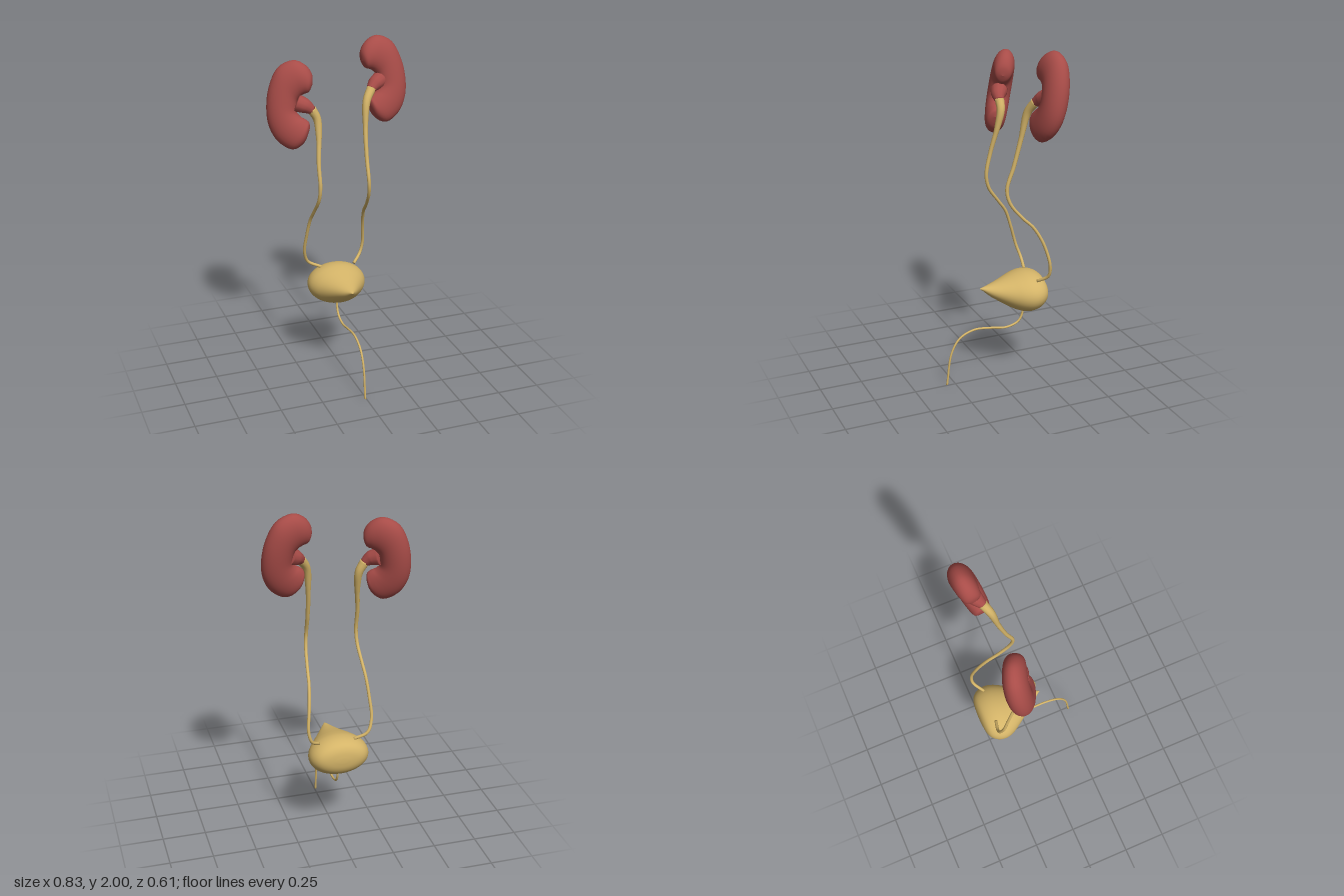
import * as THREE from 'three';

const red = new THREE.MeshStandardMaterial({ color: 0xa84c48 });
red.name = 'kidney red';
const ochre = new THREE.MeshStandardMaterial({ color: 0xd4b468 });
ochre.name = 'pale ochre';

// Smoothly resample a short table, column by column
function resample(rows, steps) {
  const out = [];
  const last = rows.length - 1;
  for (let i = 0; i <= last * steps; i++) {
    const k = Math.min(Math.floor(i / steps), last - 1);
    const t = i / steps - k;
    const a = rows[Math.max(k - 1, 0)], b = rows[k], c = rows[k + 1], d = rows[Math.min(k + 2, last)];
    out.push(b.map((p, j) => {
      const m0 = (c[j] - a[j]) / 2, m1 = (d[j] - p) / 2;
      return p + m0 * t + (3 * (c[j] - p) - 2 * m0 - m1) * t * t + (2 * (p - c[j]) + m0 + m1) * t * t * t;
    }));
  }
  return out;
}

// Skin a list of closed rings, closing each end with a centre point
function loft(rings) {
  const n = rings[0].length, pos = [], idx = [];
  for (const ring of rings) for (const p of ring) pos.push(p.x, p.y, p.z);
  for (let r = 0; r < rings.length - 1; r++) {
    for (let i = 0; i < n; i++) {
      const a = r * n + i, b = r * n + (i + 1) % n;
      idx.push(a, b, a + n, b, b + n, a + n);
    }
  }
  const cap = (r, flip) => {
    const centre = new THREE.Vector3();
    rings[r].forEach((p) => centre.addScaledVector(p, 1 / n));
    const c = pos.length / 3;
    pos.push(centre.x, centre.y, centre.z);
    for (let i = 0; i < n; i++) {
      const a = r * n + i, b = r * n + (i + 1) % n;
      if (flip) idx.push(c, a, b); else idx.push(c, b, a);
    }
  };
  cap(0, false);
  cap(rings.length - 1, true);
  // Turn the faces outward if the enclosed volume is negative
  const v = (i) => new THREE.Vector3().fromArray(pos, i * 3);
  let volume = 0;
  for (let i = 0; i < idx.length; i += 3) volume += v(idx[i]).dot(v(idx[i + 1]).cross(v(idx[i + 2])));
  if (volume < 0) idx.reverse();
  const g = new THREE.BufferGeometry();
  g.setAttribute('position', new THREE.Float32BufferAttribute(pos, 3));
  g.setIndex(idx);
  g.computeVertexNormals();
  return g;
}

function ringOf(n, fn) {
  return Array.from({ length: n }, (_, i) => fn(Math.cos(i / n * 2 * Math.PI), Math.sin(i / n * 2 * Math.PI)));
}

function part(name, geometry, material) {
  const mesh = new THREE.Mesh(geometry, material);
  mesh.name = name;
  return mesh;
}

// Tube through points, tapering between the listed radii
function taperedTube(points, radii, segments) {
  const curve = new THREE.CatmullRomCurve3(points.map((p) => new THREE.Vector3(...p)));
  const frames = curve.computeFrenetFrames(segments);
  const rings = [];
  for (let i = 0; i <= segments; i++) {
    const c = curve.getPointAt(i / segments);
    const f = i / segments * (radii.length - 1), k = Math.min(Math.floor(f), radii.length - 2);
    const r = THREE.MathUtils.lerp(radii[k], radii[k + 1], f - k);
    rings.push(ringOf(12, (x, y) => c.clone()
      .addScaledVector(frames.normals[i], r * x).addScaledVector(frames.binormals[i], r * y)));
  }
  return loft(rings);
}

// Bean body: sections fan round the notch (inner u, v, outer u, v, half thickness)
const beanSections = [
  [-0.128, 0.114, -0.128, 0.114, 0.004],
  [-0.108, 0.074, -0.127, 0.17, 0.04],
  [-0.08, 0.063, -0.09, 0.223, 0.055],
  [-0.058, 0.048, -0.022, 0.249, 0.061],
  [-0.042, 0.027, 0.063, 0.208, 0.065],
  [-0.037, 0, 0.114, 0.105, 0.067],
  [-0.037, -0.037, 0.132, -0.012, 0.067],
  [-0.058, -0.063, 0.12, -0.116, 0.066],
  [-0.08, -0.075, 0.072, -0.2, 0.063],
  [-0.096, -0.086, -0.008, -0.246, 0.056],
  [-0.106, -0.1, -0.075, -0.208, 0.042],
  [-0.107, -0.132, -0.107, -0.132, 0.004],
];

function kidney(name, side, position, rotation) {
  const rings = resample(beanSections, 4).map(([iu, iv, ou, ov, h]) => ringOf(28, (c, s) => new THREE.Vector3(
    side * ((iu + ou) / 2 + (ou - iu) / 2 * c), (iv + ov) / 2 + (ov - iv) / 2 * c, h * s)));
  const mesh = part(name, loft(rings), red);
  mesh.position.set(...position);
  mesh.rotation.set(...rotation, 'YXZ');
  return mesh;
}

// Bladder rings along z: z, half width, top, bottom
const bladderSections = [
  [0.088, 0.002, 0.579, 0.575],
  [0.07, 0.014, 0.584, 0.562],
  [0.03, 0.044, 0.591, 0.525],
  [-0.03, 0.085, 0.605, 0.482],
  [-0.09, 0.126, 0.622, 0.443],
  [-0.14, 0.157, 0.636, 0.418],
  [-0.19, 0.174, 0.645, 0.407],
  [-0.24, 0.169, 0.641, 0.417],
  [-0.28, 0.142, 0.622, 0.447],
  [-0.3, 0.098, 0.59, 0.482],
  [-0.307, 0.03, 0.55, 0.522],
];

export function createModel() {
  const model = new THREE.Group();
  model.name = 'urinarySystem';

  // Kidneys, leaning back at the top and turned outward
  model.add(kidney('leftKidney', 1, [0.285, 1.752, -0.2], [-0.2, 0.1, 0]));
  model.add(kidney('rightKidney', -1, [-0.287, 1.665, -0.158], [-0.16, -0.42, 0.03]));

  // Red stalks leaving the notches
  model.add(part('leftRenalPelvis', taperedTube(
    [[0.27, 1.755, -0.2], [0.225, 1.735, -0.18], [0.187, 1.708, -0.155]], [0.05, 0.042, 0.024], 12), red));
  model.add(part('rightRenalPelvis', taperedTube(
    [[-0.25, 1.68, -0.14], [-0.21, 1.665, -0.118], [-0.172, 1.638, -0.107]], [0.05, 0.042, 0.024], 12), red));

  // Ureters, wide at the kidney and thin down to the bladder
  const ureterRadii = [0.027, 0.021, 0.014, 0.012, 0.011, 0.01, 0.009, 0.009, 0.009, 0.009, 0.009, 0.009];
  model.add(part('leftUreter', taperedTube([
    [0.195, 1.715, -0.16], [0.155, 1.65, -0.13], [0.138, 1.5, -0.1], [0.132, 1.34, -0.06], [0.131, 1.21, -0.02],
    [0.137, 1.13, -0.037], [0.147, 1.04, -0.105], [0.157, 0.97, -0.175], [0.173, 0.86, -0.235],
    [0.186, 0.73, -0.268], [0.168, 0.665, -0.265], [0.115, 0.622, -0.222],
  ], ureterRadii, 110), ochre));
  model.add(part('rightUreter', taperedTube([
    [-0.178, 1.645, -0.11], [-0.148, 1.59, -0.105], [-0.145, 1.5, -0.085], [-0.16, 1.34, -0.045], [-0.16, 1.21, -0.02],
    [-0.163, 1.13, -0.037], [-0.172, 1.04, -0.1], [-0.18, 0.97, -0.15], [-0.19, 0.86, -0.19],
    [-0.194, 0.74, -0.225], [-0.165, 0.665, -0.245], [-0.09, 0.627, -0.23],
  ], ureterRadii, 110), ochre));

  // Bladder, pointed at the front
  const rings = resample(bladderSections, 4).map(([z, w, top, bottom]) => ringOf(40, (c, s) => new THREE.Vector3(
    -0.005 + w * c, (top + bottom) / 2 + (top - bottom) / 2 * s, z)));
  model.add(part('bladder', loft(rings), ochre));

  // Urethra, curving forward and down to the ground
  const urethra = [
    [0.43, -0.186], [0.37, -0.183], [0.325, -0.155], [0.302, -0.08], [0.316, 0.02],
    [0.323, 0.125], [0.285, 0.215], [0.2, 0.268], [0, 0.3],
  ].map(([y, z]) => [-0.007, y, z]);
  model.add(part('urethra', taperedTube(urethra, [0.0065, 0.006], 70), ochre));

  return model;
}
